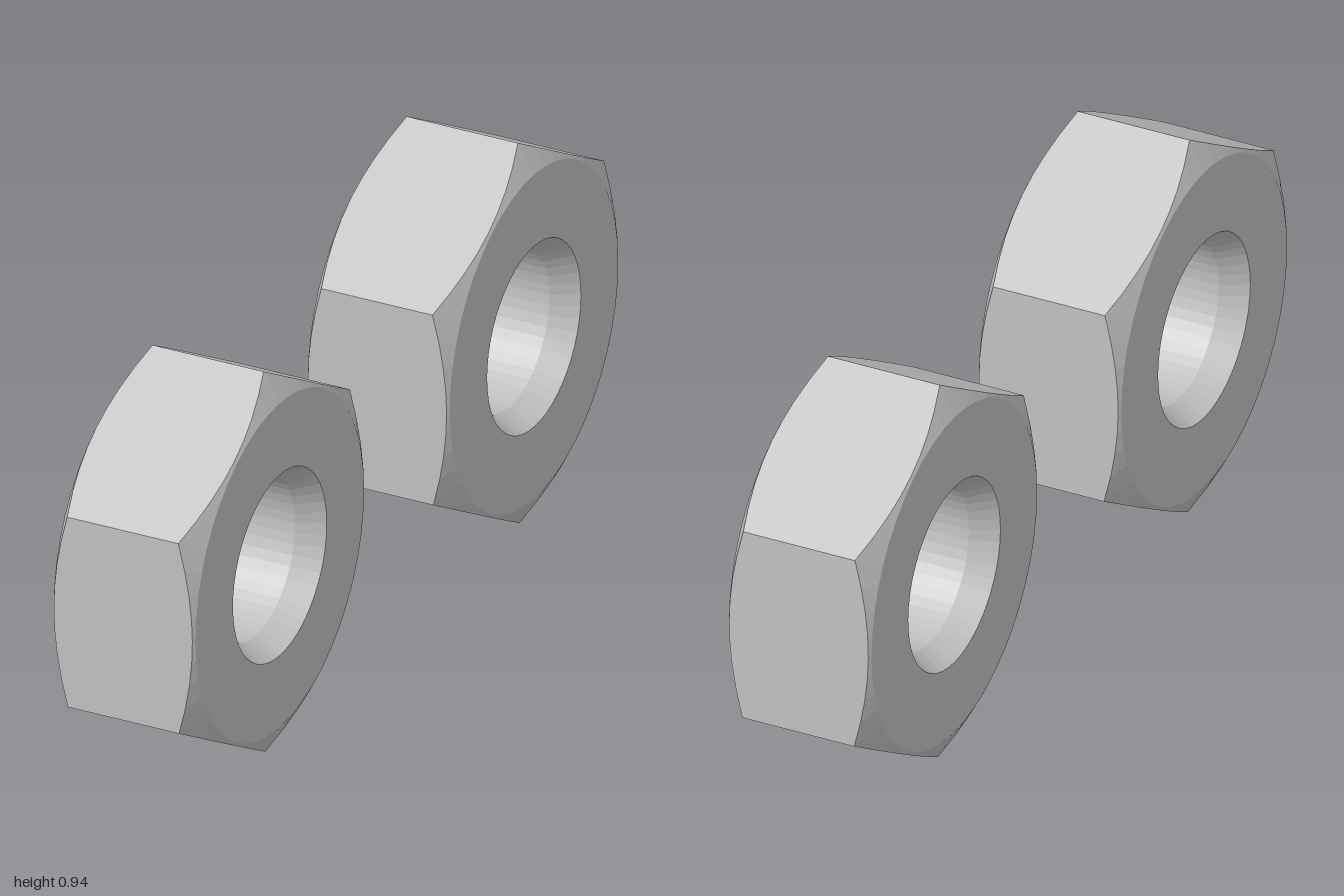
import * as THREE from 'three';

const SEGMENTS = 48;      // divisible by 6 so that hexagon corners fall on vertices
const HALF = 0.173;       // half thickness of a nut
const APOTHEM = 0.4025;   // centre to flat
const FACE = 0.395;       // radius of the flat washer face
const BORE = 0.187;
const MOUTH = 0.22;       // wide end of the countersink
const SINK = 0.06;        // countersink depth
const SLOPE = 0.535;      // corner chamfer steepness

// Distance from the axis to the hexagon's outline
function hexRadius(angle) {
  const sector = Math.PI / 3;
  return APOTHEM / Math.cos((angle % sector) - sector / 2);
}

// Closed cross-section [x, radius] at one angle around the axis
function section(angle) {
  const r = hexRadius(angle);
  const side = [
    [HALF - SINK, BORE],
    [HALF, MOUTH],
    [HALF, FACE],
    [HALF - (r - FACE) * SLOPE, r],
  ];
  const mirrored = side.map(([x, radius]) => [-x, radius]).reverse();
  return [...side, ...mirrored];
}

// Sweep the section around the x axis
function nutGeometry() {
  const positions = [];
  const indices = [];
  const count = 8;
  for (let j = 0; j < SEGMENTS; j++) {
    const angle = (j / SEGMENTS) * Math.PI * 2;
    for (const [x, r] of section(angle)) {
      positions.push(x, r * Math.cos(angle), r * Math.sin(angle));
    }
    const next = (j + 1) % SEGMENTS;
    for (let i = 0; i < count; i++) {
      const k = (i + 1) % count;
      const a = j * count + i, b = j * count + k;
      const c = next * count + k, d = next * count + i;
      indices.push(a, b, c, a, c, d);
    }
  }
  const indexed = new THREE.BufferGeometry();
  indexed.setAttribute('position', new THREE.Float32BufferAttribute(positions, 3));
  indexed.setIndex(indices);
  const geometry = indexed.toNonIndexed();   // crisp facets
  geometry.computeVertexNormals();
  return geometry;
}

export function createModel() {
  const model = new THREE.Group();
  model.name = 'hexNuts';
  const steel = new THREE.MeshStandardMaterial({ color: 0xc0c0c0 });
  steel.name = 'steel grey';

  // Two identical nuts standing in a row
  const geometry = nutGeometry();
  for (const [name, z] of [['frontNut', 0.596], ['backNut', -0.596]]) {
    const nut = new THREE.Mesh(geometry, steel);
    nut.name = name;
    nut.position.z = z;
    model.add(nut);
  }

  // The pair is set slightly askew
  model.rotation.set(0.0085, -0.018, 0);
  model.position.y = 0.4705;
  const root = new THREE.Group();
  root.name = 'nutPair';
  root.add(model);
  return root;
}
